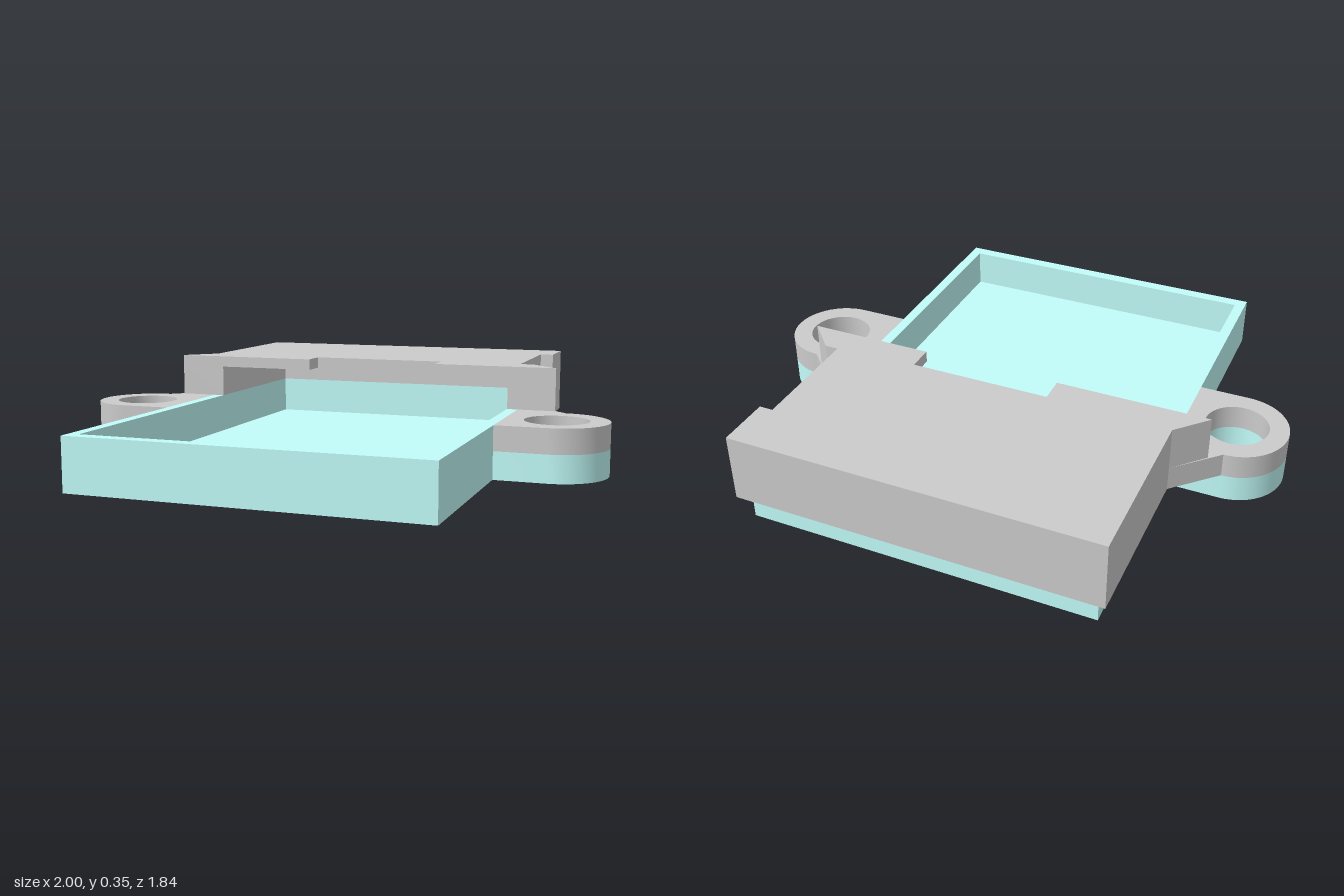
import * as THREE from 'three';
import { toCreasedNormals } from 'three/addons/utils/BufferGeometryUtils.js';

const GREY = new THREE.MeshStandardMaterial({ color: 0xcccccc });
const TEAL = new THREE.MeshStandardMaterial({ color: 0xc2fdfa });

// Tray and cover limits
const TX = 0.63, TI = 0.59, TBACK = -0.88, TFRONT = 0.915;
const CX = 0.665, CBACK = -0.92, CIN = -0.84, LIP = -0.19;
// Screw ear
const EX = 0.815, EZ = 0.033, ER = 0.186, EHOLE = 0.115;
// Side window: recess depth, recess ends and opening ends
const WX = 0.615, W0 = -0.30, W1 = -0.725, O0 = -0.33, O1 = -0.69;

const outline = (pts) => new THREE.Shape(pts.map(([x, z]) => new THREE.Vector2(x, z)));
const mirror = (pts) => pts.map(([x, z]) => [-x, z]).reverse();

// Horizontal slab: plan given in (x, z), extruded between two heights
function slab(name, shapes, y0, y1, material) {
  const geo = new THREE.ExtrudeGeometry(shapes, { depth: y1 - y0, bevelEnabled: false, curveSegments: 32 });
  geo.rotateX(Math.PI / 2);
  geo.translate(0, y1, 0);
  const mesh = new THREE.Mesh(toCreasedNormals(geo, 0.5), material);
  mesh.name = name;
  return mesh;
}

// Rounded ear plan with a screw hole; side is 1 or -1
function earShape(side, rear) {
  const pts = [];
  for (let i = 0; i <= 32; i++) {
    const a = -Math.PI / 2 + (Math.PI * i) / 32;
    pts.push([EX + ER * Math.cos(a), EZ + ER * Math.sin(a)]);
  }
  const plan = [...rear, ...pts, [TX, EZ + ER]];
  const shape = outline(side > 0 ? plan : mirror(plan));
  const hole = new THREE.Path();
  hole.absarc(side * EX, EZ, EHOLE, 0, Math.PI * 2, true);
  shape.holes.push(hole);
  return shape;
}

function createTray() {
  const tray = new THREE.Group();
  tray.name = 'tray';
  const rect = (x, z0, z1) => [[-x, z0], [x, z0], [x, z1], [-x, z1]];
  const rim = outline(rect(TX, TBACK, TFRONT));
  rim.holes.push(outline(rect(TI, CIN, 0.87)));
  tray.add(slab('trayFloor', outline(rect(TX, TBACK, TFRONT)), 0, 0.045, TEAL));
  tray.add(slab('trayWalls', rim, 0.045, 0.19, TEAL));
  for (const s of [1, -1]) {
    tray.add(slab(s > 0 ? 'leftTrayEar' : 'rightTrayEar', earShape(s, [[TX, EZ - ER]]), 0, 0.1, TEAL));
  }
  return tray;
}

function createCover() {
  const cover = new THREE.Group();
  cover.name = 'cover';

  // Ears with the angled web that runs back to the sleeve
  for (const s of [1, -1]) {
    const web = [[TX, W0], [CX, W0]];
    cover.add(slab(s > 0 ? 'leftCoverEar' : 'rightCoverEar', earShape(s, web), 0.1, 0.19, GREY));
  }

  // Sleeve around the rear of the tray, lower on the window side
  const sleeve = (z) => outline([
    [-CX, W0], [-CX, CBACK], [CX, CBACK], [CX, z], [TX, z], [TX, TBACK], [-TX, TBACK], [-TX, W0],
  ]);
  cover.add(slab('lowerSleeve', sleeve(W0), 0.1, 0.13, GREY));
  cover.add(slab('upperSleeve', sleeve(W1), 0.13, 0.19, GREY));

  // Walls above the tray, split by the window opening
  const walls = outline([
    [-0.77, LIP], [-CX, W0], [-CX, CBACK], [CX, CBACK], [CX, W1], [WX, W1], [WX, O1],
    [TI, O1], [TI, CIN], [-TI, CIN], [-TI, LIP],
  ]);
  const jamb = outline([[TI, LIP], [TI, O0], [WX, O0], [WX, W0], [CX, W0], [0.77, LIP]]);
  cover.add(slab('coverWalls', [walls, jamb], 0.19, 0.308, GREY));

  // Roof with the front notch and the recess over the window
  const roof = outline([
    [-0.77, LIP], [-CX, W0], [-CX, CBACK], [CX, CBACK], [CX, W1], [WX, W1], [WX, W0], [CX, W0],
    [0.77, LIP], [0.305, LIP], [0.305, -0.285], [-0.21, -0.285], [-0.21, LIP],
  ]);
  cover.add(slab('coverRoof', roof, 0.308, 0.35, GREY));
  return cover;
}

export function createModel() {
  const model = new THREE.Group();
  model.name = 'enclosure';
  model.add(createTray(), createCover());
  return model;
}
